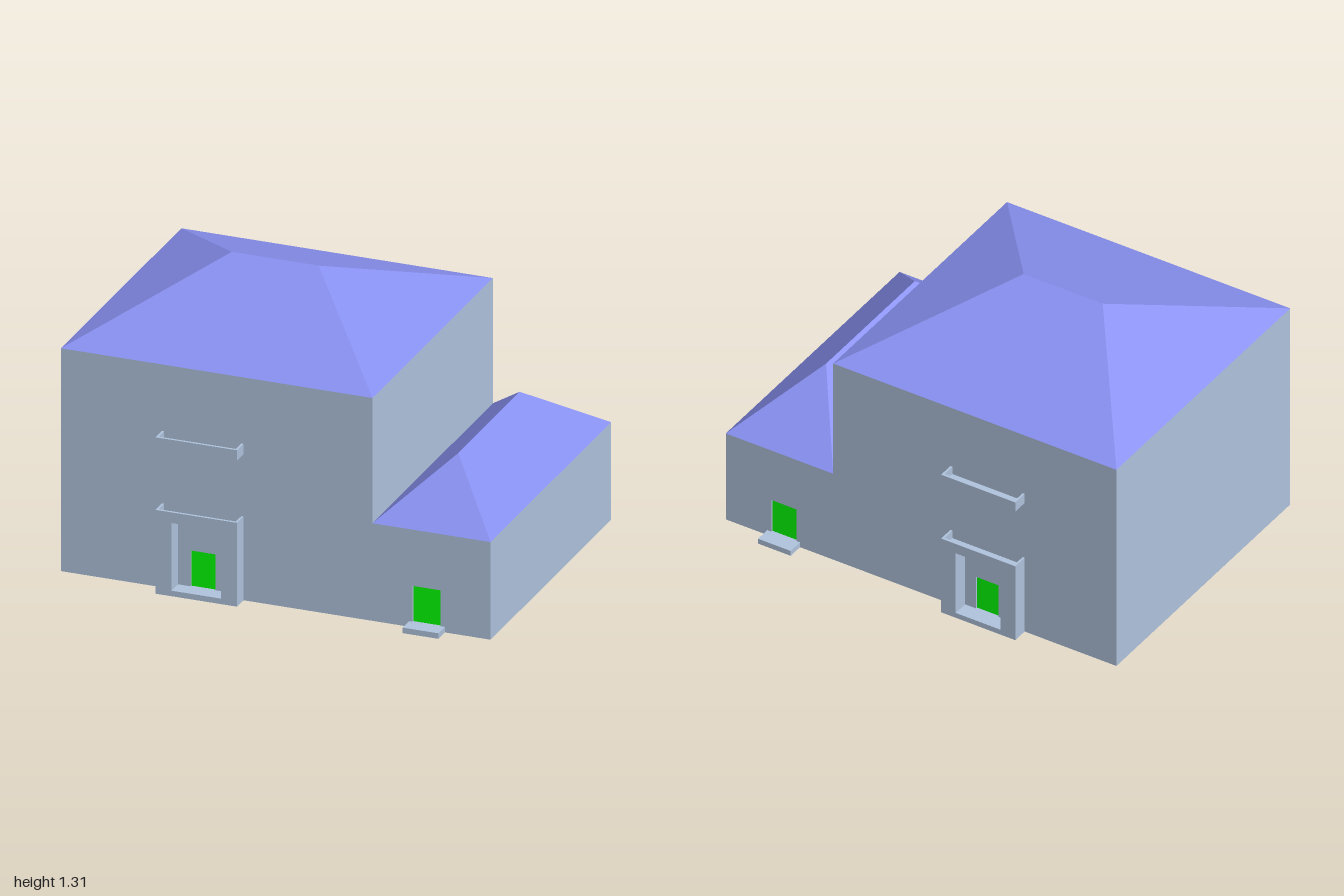
import * as THREE from 'three';
import { ConvexGeometry } from 'three/addons/geometries/ConvexGeometry.js';

const paint = (color) => new THREE.MeshStandardMaterial({ color });
const wall = paint(0xb0c4de);
const roofing = paint(0x8890f0);
const green = paint(0x00ff00);
const floorTone = paint(0xb0aba4);

const DEPTH = 0.7;    // half depth of the house
const SKIN = 0.01;    // facade thickness, also the door recess
const PORCH = 0.075;  // how far porches and steps project

function add(parent, name, geometry, material) {
  const mesh = new THREE.Mesh(geometry, material);
  mesh.name = name;
  parent.add(mesh);
  return mesh;
}

// Box given by its limits on each axis
function block(parent, name, [x0, x1], [y0, y1], [z0, z1], material = wall) {
  const mesh = add(parent, name, new THREE.BoxGeometry(x1 - x0, y1 - y0, z1 - z0), material);
  mesh.position.set((x0 + x1) / 2, (y0 + y1) / 2, (z0 + z1) / 2);
  return mesh;
}

const outline = (points) => points.map(([x, y]) => new THREE.Vector2(x, y));
const rect = (x0, x1, y0, y1) => outline([[x0, y0], [x1, y0], [x1, y1], [x0, y1]]);

// Flat panel with rectangular openings, its back at z and its front at z + depth
function panel(parent, name, points, holes, z, depth) {
  const shape = new THREE.Shape(points);
  shape.holes = holes.map((h) => new THREE.Path(h));
  const geometry = new THREE.ExtrudeGeometry(shape, { depth, bevelEnabled: false });
  return add(parent, name, geometry.translate(0, 0, z), wall);
}

// Hipped roof over a rectangle, from the eaves up to a ridge line
function hipRoof(parent, name, x0, x1, eaves, ridgeStart, ridgeEnd) {
  const corners = [x0, x1].flatMap((x) => [-DEPTH, DEPTH].map((z) => new THREE.Vector3(x, eaves, z)));
  const ridge = [ridgeStart, ridgeEnd].map((p) => new THREE.Vector3(...p));
  add(parent, name, new ConvexGeometry([...corners, ...ridge]), roofing);
}

// Open trough: front rail and two end rails
function rails(parent, name, x0, x1, y0, y1) {
  const z1 = DEPTH + PORCH;
  block(parent, name + 'Front', [x0, x1], [y0, y1], [z1 - 0.012, z1]);
  block(parent, name + 'End', [x0, x0 + 0.01], [y0, y1], [DEPTH, z1 - 0.012]);
  block(parent, name + 'End', [x1 - 0.01, x1], [y0, y1], [DEPTH, z1 - 0.012]);
}

// One long side of the house, built facing +z
function createFacade(direction) {
  const side = new THREE.Group();
  side.name = direction > 0 ? 'frontFacade' : 'backFacade';
  // The back is turned half round, so x runs the other way there
  const span = (a, b) => (direction > 0 ? [a, b] : [-b, -a]);
  const out = [DEPTH, DEPTH + PORCH];
  const mainDoor = span(-0.395, -0.28);
  const sideDoor = span(0.637, 0.767);
  const points = outline([[-1, 0], [1, 0], [1, 0.46], [0.45, 0.46], [0.45, 1.05], [-1, 1.05]]
    .map(([x, y]) => [x * direction, y]));
  panel(side, 'wallPanel', points,
    [rect(...mainDoor, 0.026, 0.195), rect(...sideDoor, 0.026, 0.195)], DEPTH - SKIN, SKIN);
  for (const door of [mainDoor, sideDoor])
    block(side, 'door', door, [0.026, 0.195], [DEPTH - SKIN - 0.005, DEPTH - SKIN + 0.002], green);

  // Porch frame with a railed roof, and the balcony above
  const [p0, p1] = span(-0.53, -0.15);
  panel(side, 'porchFrame', rect(p0, p1, 0, 0.355),
    [rect(...span(-0.455, -0.225), 0.026, 0.345)], DEPTH, PORCH);
  rails(side, 'porchRail', p0, p1, 0.355, 0.395);
  block(side, 'balconyFloor', [p0, p1], [0.688, 0.698], out);
  rails(side, 'balconyRail', p0, p1, 0.698, 0.737);
  block(side, 'doorStep', span(0.62, 0.787), [0, 0.026], out);
  if (direction < 0) side.rotation.y = Math.PI;
  return side;
}

export function createModel() {
  const house = new THREE.Group();
  house.name = 'house';
  const inner = [-DEPTH + SKIN, DEPTH - SKIN];

  // Solid cores behind the facades
  block(house, 'mainBody', [-1, 0.45], [0.01, 1.05], inner);
  block(house, 'wingBody', [0.45, 1], [0.01, 0.46], inner);

  // Foundation slabs with narrow gaps between them
  for (const x of [[-1, -0.72], [-0.7, 0.41], [0.43, 1]])
    block(house, 'foundation', x, [0, 0.01], inner);
  block(house, 'undersidePanel', [0.07, 0.405], [-0.0005, 0.005], [0, 0.69], floorTone);

  house.add(createFacade(1), createFacade(-1));

  hipRoof(house, 'mainRoof', -1, 0.45, 1.05, [-0.485, 1.305, 0], [-0.08, 1.305, 0]);
  hipRoof(house, 'wingRoof', 0.45, 1, 0.46, [0.725, 0.71, -0.325], [0.725, 0.71, 0.39]);
  return house;
}
